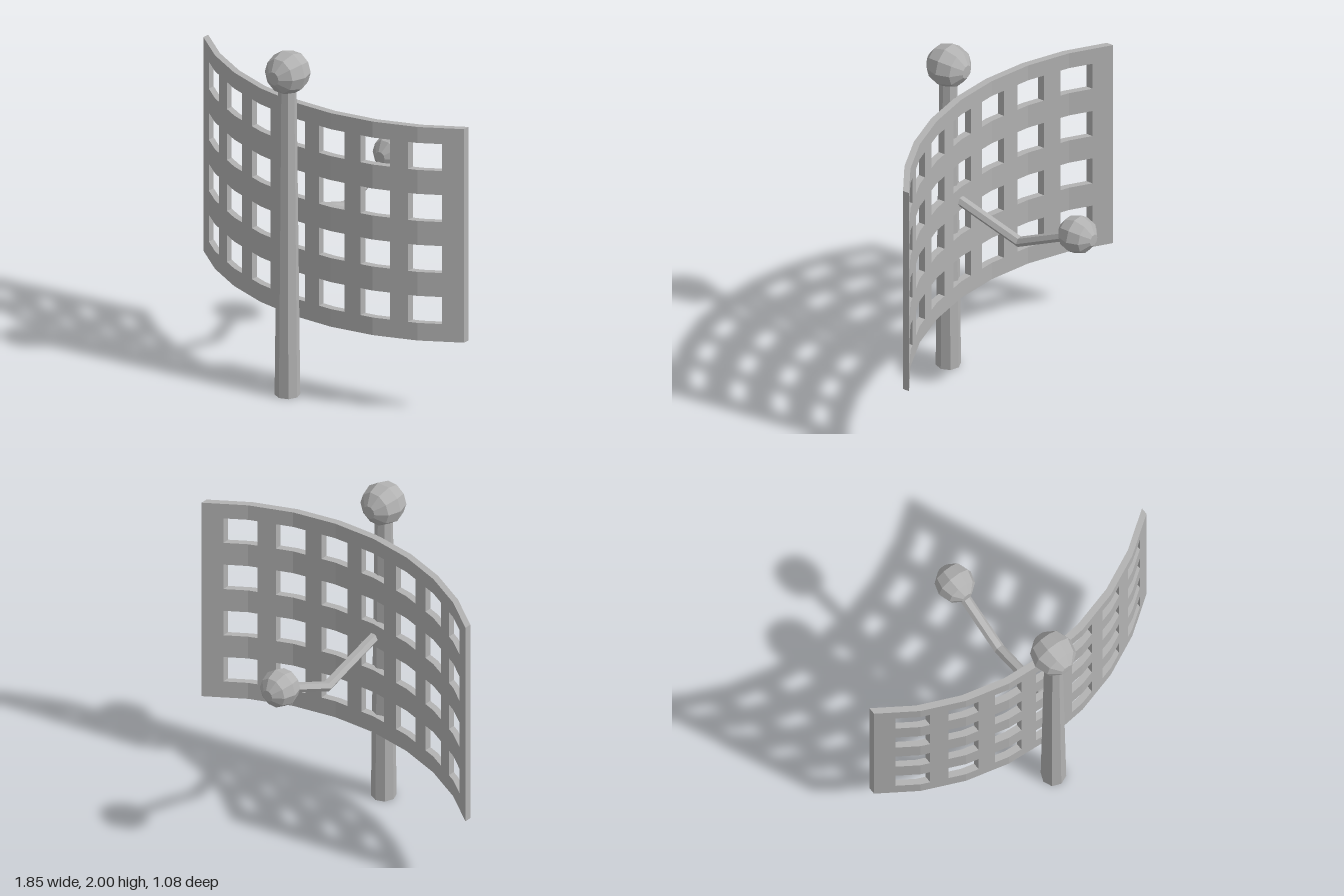
import * as THREE from 'three';

const gray = new THREE.MeshStandardMaterial({ color: 0xb2b2b2 });
gray.name = 'gray';

// Faceted mesh with one normal per face
function addPart(group, name, geometry) {
  const flat = geometry.index ? geometry.toNonIndexed() : geometry;
  flat.computeVertexNormals();
  const mesh = new THREE.Mesh(flat, gray);
  mesh.name = name;
  group.add(mesh);
  return mesh;
}

// Ten-sided ball with its poles facing front and back
function ballGeometry(r) {
  const points = [new THREE.Vector2(0, -r * 0.985)];
  for (let a = 18; a <= 162; a += 36) {
    const t = THREE.MathUtils.degToRad(a);
    points.push(new THREE.Vector2(Math.sin(t) * r, -Math.cos(t) * r * 1.03));
  }
  points.push(new THREE.Vector2(0, r * 0.985));
  return new THREE.LatheGeometry(points, 10, Math.PI / 2).rotateX(Math.PI / 2);
}

// Curved panel with a 7 x 4 grid of square holes
function panelGeometry() {
  const half = 0.925, bottom = 0.445, top = 1.695, thick = 0.04, hole = 0.079;
  const columns = [-3, -2, -1, 0, 1, 2, 3].map((i) => i * 0.25);
  const rows = [0, 1, 2, 3].map((i) => 0.627 + i * 0.2985);

  // Eight straight facets follow a circular arc
  const radius = 1.46, step = Math.asin(half / radius) / 4;
  const bends = [];
  for (let i = -4; i <= 4; i++) {
    bends.push([radius * Math.sin(i * step), 0.376 - radius * (1 - Math.cos(i * step))]);
  }
  const frontZ = (x) => {
    let i = 0;
    while (i < 7 && x > bends[i + 1][0]) i++;
    const [x0, z0] = bends[i], [x1, z1] = bends[i + 1];
    return z0 + ((z1 - z0) * (x - x0)) / (x1 - x0);
  };

  const ascending = (a, b) => a - b;
  const edges = (centres) => centres.flatMap((c) => [c - hole, c + hole]);
  const xs = [...bends.map((b) => b[0]), ...edges(columns)].sort(ascending)
    .filter((x, i, all) => i === 0 || x - all[i - 1] > 1e-5);
  const ys = [bottom, ...edges(rows), top];

  const inHole = (v, centres) => centres.some((c) => Math.abs(v - c) < hole);
  const solid = (i, j) => i >= 0 && j >= 0 && i < xs.length - 1 && j < ys.length - 1 &&
    !(inHole((xs[i] + xs[i + 1]) / 2, columns) && inHole((ys[j] + ys[j + 1]) / 2, rows));

  const positions = [];
  const quad = (a, b, c, d) => positions.push(...a, ...b, ...c, ...a, ...c, ...d);
  const front = (i, j) => [xs[i], ys[j], frontZ(xs[i])];
  const back = (i, j) => [xs[i], ys[j], frontZ(xs[i]) - thick];
  for (let i = 0; i < xs.length - 1; i++) {
    for (let j = 0; j < ys.length - 1; j++) {
      if (!solid(i, j)) continue;
      const I = i + 1, J = j + 1;
      quad(front(i, j), front(I, j), front(I, J), front(i, J));
      quad(back(I, j), back(i, j), back(i, J), back(I, J));
      // Rims only where the neighbouring cell is open
      if (!solid(i - 1, j)) quad(back(i, j), front(i, j), front(i, J), back(i, J));
      if (!solid(I, j)) quad(front(I, j), back(I, j), back(I, J), front(I, J));
      if (!solid(i, j - 1)) quad(back(i, j), back(I, j), front(I, j), front(i, j));
      if (!solid(i, J)) quad(front(i, J), front(I, J), back(I, J), back(i, J));
    }
  }
  const geometry = new THREE.BufferGeometry();
  geometry.setAttribute('position', new THREE.Float32BufferAttribute(positions, 3));
  return geometry;
}

// Six-sided rod bent once at the elbow, running from front to back
function armGeometry() {
  const path = [[1.07, 0.38], [0.942, -0.05], [1.13, -0.435]]; // [y, z]
  const geometry = new THREE.CylinderGeometry(0.031, 0.031, 2, 6, 2)
    .rotateY(Math.PI / 2).rotateX(Math.PI / 2);
  const p = geometry.attributes.position;
  for (let i = 0; i < p.count; i++) {
    const [y, z] = path[Math.round(1 - p.getZ(i))];
    p.setY(i, p.getY(i) * 0.95 + y);
    p.setZ(i, z);
  }
  return geometry;
}

export function createModel() {
  const model = new THREE.Group();
  model.name = 'panelOnPost';

  addPart(model, 'post', new THREE.CylinderGeometry(0.049, 0.069, 1.82, 8))
    .position.set(0, 0.91, 0.421);
  addPart(model, 'postBall', ballGeometry(0.122)).position.set(0, 1.884, 0.418);
  addPart(model, 'perforatedPanel', panelGeometry());
  addPart(model, 'bentArm', armGeometry());
  addPart(model, 'armBall', ballGeometry(0.107)).position.set(0, 1.132, -0.437);
  return model;
}
